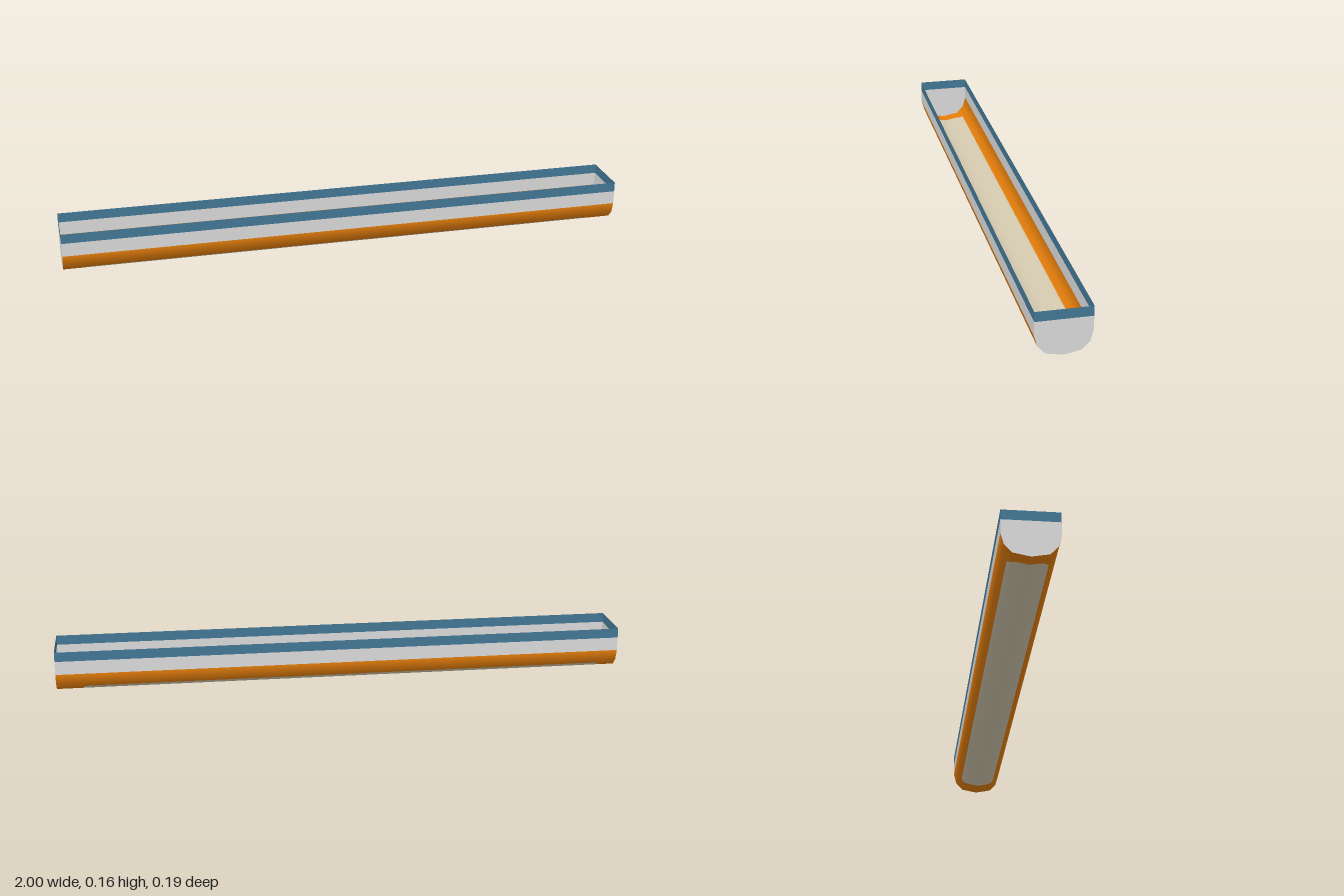
import * as THREE from 'three';

const material = (name, color) => {
  const m = new THREE.MeshStandardMaterial({ color, side: THREE.DoubleSide });
  m.name = name;
  return m;
};

// Half cross-section from keel to bilge: z, y and smooth normal (nz, ny)
const PROFILE = [
  [0, 0, 0, -1],
  [0.057, 0.011, 0.46, -0.89],
  [0.082, 0.038, 0.86, -0.51],
  [0.0925, 0.0755, 1, 0],
];
const HALF = 0.0925, BILGE = 0.0755, STRIPE = 0.123, TOP = 0.157;

// Interpolated profile point at distance z from the centre line
function hullAt(z) {
  let i = 0;
  while (i < PROFILE.length - 2 && z > PROFILE[i + 1][0]) i++;
  const a = PROFILE[i], b = PROFILE[i + 1];
  const t = (z - a[0]) / (b[0] - a[0]);
  return a.map((v, k) => v + (b[k] - v) * t);
}

// Surface lofted along x; each row is { x, points: [z, y, nz, ny] }, mirrored by side
function loft(rows, side) {
  const pos = [], nor = [], idx = [], n = rows[0].points.length;
  rows.forEach(({ x, points }, r) => points.forEach(([z, y, nz, ny], c) => {
    const l = Math.hypot(nz, ny);
    pos.push(x, y, z * side);
    nor.push(0, ny / l, (nz / l) * side);
    if (r < rows.length - 1 && c < n - 1) {
      const a = r * n + c, b = a + n;
      if (side > 0) idx.push(a, b, a + 1, b, b + 1, a + 1);
      else idx.push(a, a + 1, b, b, a + 1, b + 1);
    }
  }));
  const g = new THREE.BufferGeometry();
  g.setAttribute('position', new THREE.Float32BufferAttribute(pos, 3));
  g.setAttribute('normal', new THREE.Float32BufferAttribute(nor, 3));
  g.setIndex(idx);
  return g;
}

// Stations along x with the half width of the rounded bottom panel
function panelStations(width) {
  const x0 = -0.95, x1 = 0.92, r = 0.03, steps = 8;
  const list = [[-1, 0], [x0, 0]];
  const arc = (i) => {
    const a = (i / steps) * Math.PI / 2;
    return [r * (1 - Math.cos(a)), width - r + r * Math.sin(a)];
  };
  for (let i = 0; i <= steps; i++) { const [d, w] = arc(i); list.push([x0 + d, w]); }
  for (let i = steps; i >= 0; i--) { const [d, w] = arc(i); list.push([x1 - d, w]); }
  list.push([x1, 0], [1, 0]);
  return list;
}

export function createModel() {
  const group = new THREE.Group();
  const blue = material('blue', 0x437896);
  const grey = material('lightGrey', 0xdcdcdc);
  const orange = material('orange', 0xe8800c);
  const beige = material('beige', 0xd5cbb0);

  const add = (name, geometry, mat) => {
    const mesh = new THREE.Mesh(geometry, mat);
    mesh.name = name;
    group.add(mesh);
  };

  const knots = PROFILE.map((p) => p[0]);
  for (const [label, side, width] of [['front', 1, 0.061], ['back', -1, 0.067]]) {
    // Curved bottom, split where the rounded panel begins
    const stations = panelStations(width);
    const strip = (pick) => loft(stations.map(([x, w]) => ({
      x, points: knots.map((k) => hullAt(pick(k, w))),
    })), side);
    add(label + 'BottomPanel', strip(Math.min), beige);
    add(label + 'LowerHull', strip(Math.max), orange);

    // Upright wall bands
    const band = (y0, y1) => loft([-1, 1].map((x) => ({
      x, points: [[HALF, y0, 1, 0], [HALF, y1, 1, 0]],
    })), side);
    add(label + 'WallBand', band(BILGE, STRIPE), grey);
    add(label + 'RimBand', band(STRIPE, TOP), blue);
  }

  // End plates with the rim colour above
  const outline = [[-HALF, STRIPE]];
  for (let i = PROFILE.length - 1; i > 0; i--) outline.push([-PROFILE[i][0], PROFILE[i][1]]);
  for (const p of PROFILE) outline.push([p[0], p[1]]);
  outline.push([HALF, STRIPE]);
  const endShape = new THREE.Shape(outline.map(([a, b]) => new THREE.Vector2(a, b)));
  for (const [label, side] of [['left', 1], ['right', -1]]) {
    const turn = side * Math.PI / 2;
    add(label + 'EndPlate',
      new THREE.ShapeGeometry(endShape).rotateY(turn).translate(side, 0, 0), grey);
    add(label + 'EndRim',
      new THREE.PlaneGeometry(HALF * 2, TOP - STRIPE).rotateY(turn)
        .translate(side, (TOP + STRIPE) / 2, 0), blue);
  }
  return group;
}
